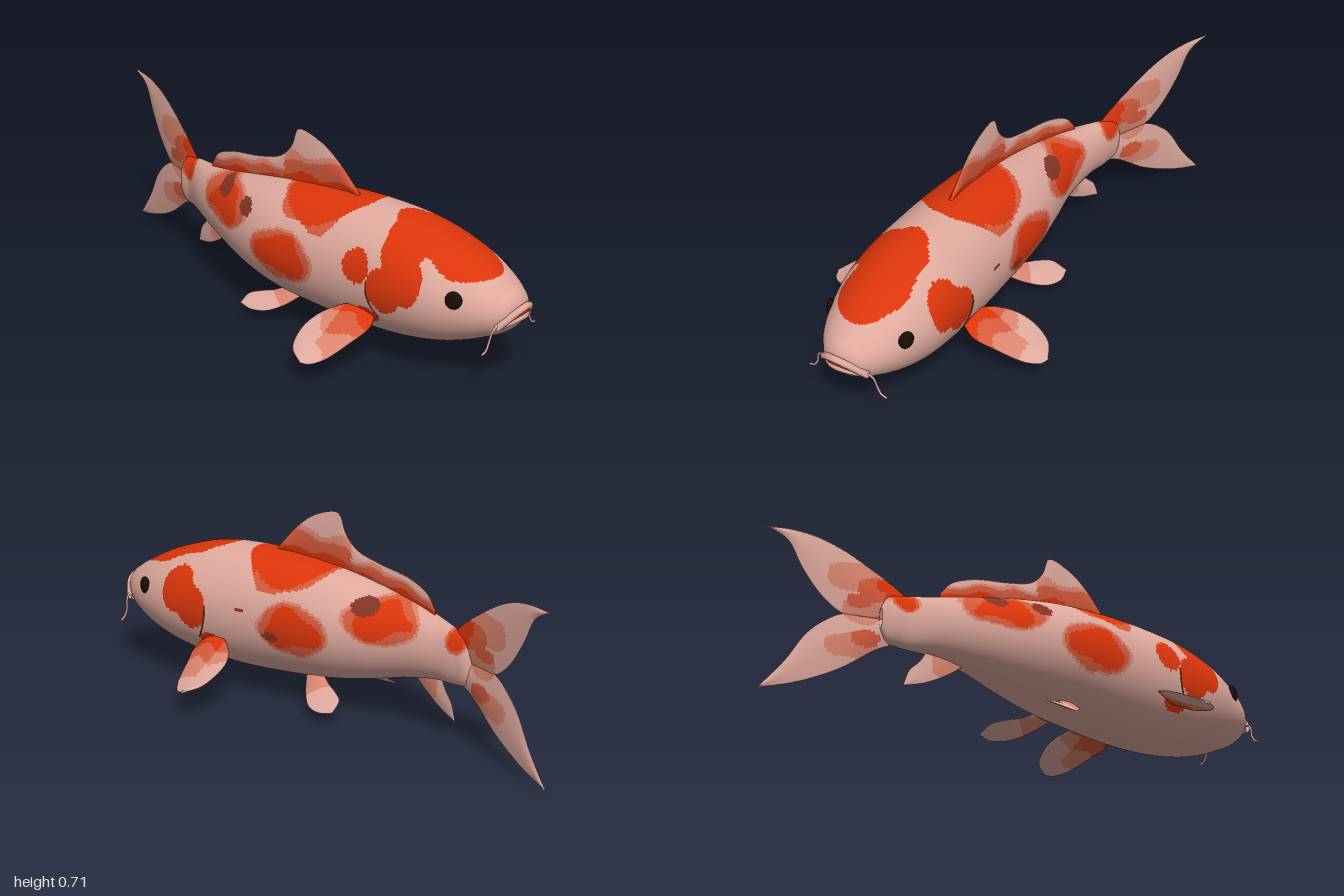
import * as THREE from 'three';
import { mergeVertices } from 'three/addons/utils/BufferGeometryUtils.js';

const makeMaterial = (name, color) => {
  const m = new THREE.MeshStandardMaterial({ color, side: THREE.DoubleSide });
  m.name = name;
  return m;
};
const PINK = 0, RED = 1, SALMON = 2, SOFT = 3, BROWN = 4;
const palette = [
  makeMaterial('pale pink', 0xdfa99d),
  makeMaterial('orange red', 0xdc350b),
  makeMaterial('salmon', 0xd65a3c),
  makeMaterial('soft salmon', 0xda8570),
  makeMaterial('brown', 0x843324),
];
const eyeBlack = makeMaterial('eye black', 0x1a0b09);

// Body sections from tail to snout: z, top, bottom, half width, spine x
const sections = [
  [-0.625, 0.35, 0.275, 0.01, 0.108], [-0.605, 0.39, 0.235, 0.032, 0.105],
  [-0.55, 0.41, 0.218, 0.042, 0.096], [-0.45, 0.425, 0.208, 0.07, 0.06],
  [-0.3, 0.455, 0.175, 0.11, 0.022], [-0.15, 0.485, 0.135, 0.155, 0.004],
  [0, 0.51, 0.105, 0.188, -0.004], [0.2, 0.53, 0.085, 0.2, -0.006],
  [0.4, 0.535, 0.078, 0.205, -0.004], [0.57, 0.52, 0.09, 0.206, -0.004],
  [0.7, 0.485, 0.115, 0.194, -0.002], [0.8, 0.447, 0.147, 0.165, 0],
  [0.88, 0.405, 0.185, 0.13, 0], [0.93, 0.375, 0.213, 0.095, 0],
  [0.965, 0.345, 0.25, 0.055, 0], [0.98, 0.31, 0.285, 0.008, 0],
];
const zTail = -0.625, zSnout = 0.98;
const profile = new THREE.CubicInterpolant(
  sections.map(s => s[0]), sections.flatMap(s => s.slice(1)), 4, new Float32Array(4));

// Point on the skin at z and angle a (0 = back, +PI/2 = left flank)
function skin(z, a) {
  const [top, bottom, half, x] = profile.evaluate(z);
  return new THREE.Vector3(x + half * Math.sin(a),
    (top + bottom) / 2 + (top - bottom) / 2 * Math.cos(a), z);
}
const spineX = z => profile.evaluate(z)[3];

// Grid surface whose cells are sorted into colour groups by a paint rule
function paintedSurface(name, point, paint, nu, nv) {
  const positions = [], buckets = palette.map(() => []);
  for (let i = 0; i <= nu; i++)
    for (let j = 0; j <= nv; j++) positions.push(...point(i / nu, j / nv).toArray());
  for (let i = 0; i < nu; i++) {
    for (let j = 0; j < nv; j++) {
      const u = (i + 0.5) / nu, v = (j + 0.5) / nv;
      const a = i * (nv + 1) + j, b = a + nv + 1;
      buckets[paint(point(u, v), u)].push(a, b, a + 1, b, b + 1, a + 1);
    }
  }
  let geometry = new THREE.BufferGeometry();
  geometry.setAttribute('position', new THREE.Float32BufferAttribute(positions, 3));
  geometry.setIndex(buckets.flat());
  geometry = mergeVertices(geometry, 1e-5);
  let start = 0;
  buckets.forEach((list, k) => {
    if (list.length) geometry.addGroup(start, list.length, k);
    start += list.length;
  });
  geometry.computeVertexNormals();
  const mesh = new THREE.Mesh(geometry, palette);
  mesh.name = name;
  return mesh;
}

const wobble = p => 0.04 * Math.sin(p.z * 37 + p.y * 17) + 0.035 * Math.sin(p.y * 47 - p.z * 25 + p.x * 18);
const oval = (a, b, ca, cb, ra, rb) => Math.hypot((a - ca) / ra, (b - cb) / rb);

// Markings seen from above: x, z, radii
const backPatches = [[-0.015, 0.7, 0.122, 0.195], [-0.01, 0.56, 0.07, 0.08], [-0.11, 0.59, 0.12, 0.085], [-0.005, 0.195, 0.172, 0.182]];
// Markings on the flanks: z, y, radii, side (0 = both)
const flankPatches = [
  [0.615, 0.365, 0.08, 0.088, 0], [0.555, 0.32, 0.072, 0.085, 0], [0.1, 0.31, 0.14, 0.09, 0],
  [-0.24, 0.388, 0.135, 0.075, 0], [-0.555, 0.385, 0.045, 0.045, 0], [0.47, 0.2, 0.05, 0.03, 0],
  [0.43, 0.37, 0.055, 0.06, -1],
];
const brownSpots = [
  [-0.17, 0.43, 0.052, 0.033, 1], [0.19, 0.27, 0.035, 0.014, 1], [0.325, 0.345, 0.015, 0.006, 1],
  [-0.26, 0.43, 0.04, 0.03, -1], [-0.11, 0.415, 0.035, 0.03, -1],
];
function paintBody(p) {
  const side = Math.sign(p.x - spineX(p.z));
  const onFlank = ([z, y, rz, ry, s]) => s && s !== side ? 9 : oval(p.z, p.y, z, y, rz, ry);
  if (brownSpots.some(s => onFlank(s) + wobble(p) < 1)) return BROWN;
  const back = p.y > 0.36 ? Math.min(...backPatches.map(([x, z, rx, rz]) => oval(p.x, p.z, x, z, rx, rz))) : 9;
  const flank = Math.min(...flankPatches.map(onFlank));
  if (Math.min(back, flank) + wobble(p) < 1) {
    const worn = p.z < 0.3 && back > 0.93 && flank + 3 * wobble(p) > 0.78;
    return worn ? SALMON : RED;
  }
  return p.z < 0.3 && flank + wobble(p) < 1.09 ? SOFT : PINK;
}

// Thin lens-shaped fin spanned between two edge curves
function fin(name, edgeA, edgeB, normal, thickness, paint) {
  const a = new THREE.CatmullRomCurve3(edgeA), b = new THREE.CatmullRomCurve3(edgeB);
  const point = (u, w) => {
    const v = w < 0.5 ? 2 * w : 2 - 2 * w;
    const bulge = thickness * Math.sin(Math.PI * v) * (1 - 0.6 * u) * (w < 0.5 ? 1 : -1);
    return a.getPoint(u).lerp(b.getPoint(u), v).addScaledVector(normal, bulge);
  };
  return paintedSurface(name, point, paint, 48, 64);
}

function tube(name, points, radius, material) {
  const curve = new THREE.CatmullRomCurve3(points.map(p => new THREE.Vector3(...p)));
  const mesh = new THREE.Mesh(new THREE.TubeGeometry(curve, 28, radius, 8), material);
  mesh.name = name;
  return mesh;
}

export function createModel() {
  const fish = new THREE.Group();
  fish.name = 'fish';
  const xAxis = new THREE.Vector3(1, 0, 0);

  // Body, with rings packed closer towards the snout
  const ringZ = u => zTail + (zSnout - zTail) * Math.sin(u * 1.35) / Math.sin(1.35);
  fish.add(paintedSurface('body', (u, v) => skin(ringZ(u), (v * 2 - 1) * Math.PI), paintBody, 240, 128));

  // Dorsal fin along the curved spine
  const onSpine = ([z, y]) => new THREE.Vector3(spineX(z) - 0.004, y, z);
  const dorsalBase = [[0.31, 0.52], [0.2, 0.52], [0.05, 0.495], [-0.1, 0.48], [-0.25, 0.45], [-0.35, 0.43], [-0.42, 0.42]];
  const dorsalEdge = [[0.31, 0.53], [0.21, 0.635], [0.13, 0.688], [0.03, 0.708], [0, 0.64], [-0.05, 0.588],
    [-0.15, 0.557], [-0.29, 0.532], [-0.38, 0.495], [-0.42, 0.445]];
  fish.add(fin('dorsalFin', dorsalBase.map(onSpine), dorsalEdge.map(onSpine), xAxis, 0.009, p => {
    const h = p.y - profile.evaluate(p.z)[0] + 0.2 * wobble(p);
    const reach = p.z > -0.03 ? 1 : 0.5;
    if (h < 0.025 * reach) return RED;
    if (h < 0.08 * reach) return SALMON;
    return h < 0.105 * reach ? SOFT : PINK;
  }));

  // Forked tail fin, swept to the left
  const onTail = ([z, y]) => new THREE.Vector3(0.098 + (-0.55 - z) * 0.382, y, z);
  const tailNormal = new THREE.Vector3(0.93, 0, 0.36);
  const paintTail = p => {
    const w = wobble(p);
    const hit = spots => spots.some(s => oval(p.z, p.y, ...s) + 2 * w < 1);
    if (hit([[-0.56, 0.39, 0.05, 0.05], [-0.61, 0.44, 0.03, 0.025]])) return RED;
    if (hit([[-0.63, 0.42, 0.075, 0.05], [-0.67, 0.23, 0.05, 0.03], [-0.69, 0.37, 0.045, 0.025]])) return SALMON;
    return hit([[-0.7, 0.46, 0.1, 0.06], [-0.71, 0.2, 0.09, 0.05], [-0.67, 0.34, 0.07, 0.06]]) ? SOFT : PINK;
  };
  const lobes = {
    upperTailFin: [
      [[-0.52, 0.4], [-0.58, 0.45], [-0.67, 0.512], [-0.75, 0.56], [-0.83, 0.593], [-0.91, 0.607], [-1, 0.605]],
      [[-0.52, 0.314], [-0.6, 0.314], [-0.68, 0.314], [-0.74, 0.315], [-0.81, 0.37], [-0.88, 0.47], [-0.93, 0.565], [-1, 0.605]]],
    lowerTailFin: [
      [[-0.52, 0.23], [-0.6, 0.212], [-0.74, 0.11], [-0.82, 0.065], [-0.9, 0.03], [-1, 0]],
      [[-0.52, 0.316], [-0.6, 0.316], [-0.68, 0.316], [-0.74, 0.315], [-0.81, 0.27], [-0.86, 0.215], [-0.92, 0.11], [-1, 0]]],
  };
  for (const [name, [outer, inner]] of Object.entries(lobes))
    fish.add(fin(name, outer.map(onTail), inner.map(onTail), tailNormal, 0.011, paintTail));

  // Anal fin under the tail
  const onBelly = ([z, y]) => new THREE.Vector3(spineX(z), y, z);
  fish.add(fin('analFin', [[-0.31, 0.2], [-0.38, 0.145], [-0.46, 0.1], [-0.535, 0.078]].map(onBelly),
    [[-0.46, 0.22], [-0.48, 0.18], [-0.515, 0.14], [-0.535, 0.078]].map(onBelly), xAxis, 0.006,
    (p, u) => u < 0.45 && p.z > -0.44 ? SOFT : PINK));

  for (const s of [1, -1]) {
    const side = s > 0 ? 'left' : 'right';
    const at = ([x, y, z]) => new THREE.Vector3(s * x, y, z);

    // Pectoral fins
    fish.add(fin(side + 'PectoralFin',
      [[0.17, 0.205, 0.5], [0.22, 0.175, 0.515], [0.3, 0.138, 0.49], [0.39, 0.102, 0.455], [0.435, 0.09, 0.42], [0.447, 0.092, 0.39]].map(at),
      [[0.17, 0.225, 0.43], [0.21, 0.21, 0.37], [0.27, 0.18, 0.32], [0.34, 0.15, 0.308], [0.41, 0.115, 0.33], [0.447, 0.092, 0.39]].map(at),
      at([0.38, 0.9, 0.2]), 0.012, (p, u) => {
        const d = u + wobble(p) + (p.z < 0.39 ? 0.15 : 0);
        return d < 0.25 ? RED : d < 0.4 ? SALMON : d < 0.57 ? SOFT : PINK;
      }));

    // Pelvic fins, the left one spread a little wider
    const spread = s > 0 ? 0.228 : 0.18;
    const along = t => 0.08 + (spread - 0.08) * t;
    fish.add(fin(side + 'PelvicFin',
      [[along(0), 0.115, 0.11], [along(0.5), 0.075, 0.06], [along(0.85), 0.053, 0.01], [along(1), 0.046, -0.05], [along(0.93), 0.053, -0.105]].map(at),
      [[along(0), 0.125, 0.03], [along(0.15), 0.105, -0.01], [along(0.3), 0.095, -0.05], [along(0.55), 0.08, -0.095], [along(0.93), 0.053, -0.105]].map(at),
      at([0.38, 0.92, 0]), 0.008, (p, u) => u < 0.3 ? SOFT : PINK));

    // Eyes, set into the head
    const eye = new THREE.Mesh(new THREE.SphereGeometry(1, 20, 14), eyeBlack);
    eye.name = side + 'Eye';
    eye.scale.set(0.015, 0.034, 0.03);
    eye.position.copy(skin(0.805, s * 1.27)).x -= s * 0.003;
    eye.rotation.y = s * -0.38;
    fish.add(eye);

    // Barbels at the mouth corners
    fish.add(tube(side + 'Barbel', [[s * 0.08, 0.272, 0.94], [s * 0.1, 0.265, 0.94],
      [s * 0.114, 0.248, 0.935], [s * 0.122, 0.215, 0.93], [s * 0.138, 0.19, 0.93], [s * 0.158, 0.182, 0.928]], 0.004, palette[PINK]));

    // Rear edge of the gill cover
    const gill = [1.45, 1.65, 1.85, 2.05].map((a, i) =>
      skin([0.482, 0.485, 0.5, 0.525][i], s * a).toArray());
    fish.add(tube(side + 'GillEdge', gill, 0.0025, palette[BROWN]));
  }

  // Down-turned mouth
  const mouth = (name, peak, drop, width, z, radius, material) => fish.add(tube(name,
    [-1, -0.75, -0.4, 0, 0.4, 0.75, 1].map(t => [t * width, peak - drop * t * t, z - 0.05 * t * t]), radius, material));
  mouth('upperLip', 0.318, 0.062, 0.09, 0.987, 0.013, palette[PINK]);
  mouth('mouthLine', 0.3, 0.042, 0.078, 0.985, 0.007, palette[RED]);
  mouth('lowerLip', 0.282, 0.03, 0.075, 0.98, 0.013, palette[PINK]);

  return fish;
}
